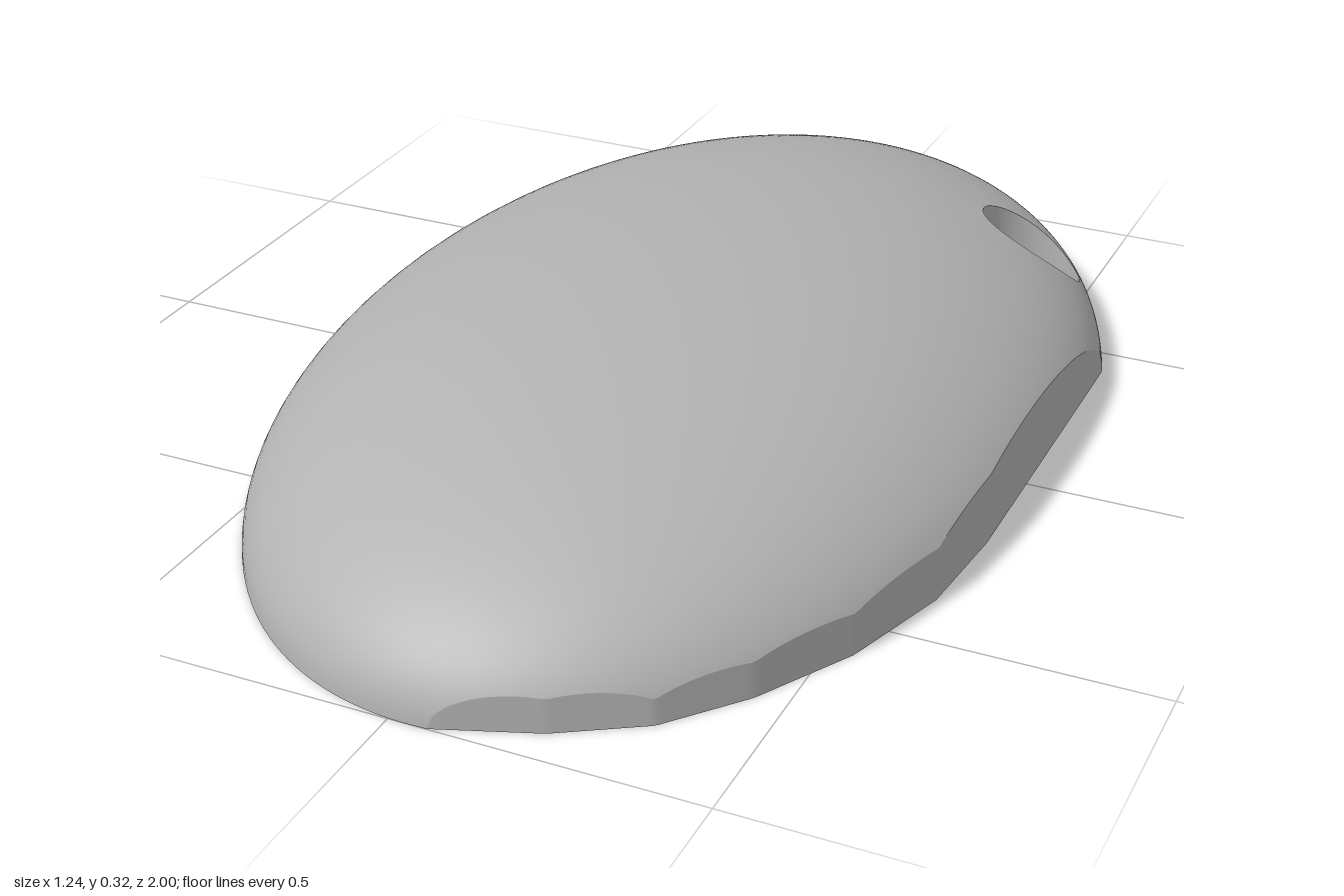
import * as THREE from 'three';

const CX = 0.03, RX = 0.65, RY = 0.325, RZ = 1;   // half ellipsoid
const N = 512;                                    // points round the outline
const HOLE = { x: 0.44, z: -0.55, r: 0.09 };      // through hole
const SOCKETS = [[0.23, -0.35], [-0.17, 0.2]];    // blind holes underneath
const SOCKET_R = 0.038, SOCKET_DEPTH = 0.12;

// Corners (x, z) of the upright facets that trim the +x side
const TRIM = [[0.617, -1], [0.617, 0.2], [0.6, 0.39], [0.54, 0.58], [0.45, 0.74],
  [0.35, 0.86], [0.22, 0.94], [0.1, 0.985]];

const domeY = (x, z) => RY * Math.sqrt(Math.max(0, 1 - ((x - CX) / RX) ** 2 - (z / RZ) ** 2));

// Ellipse outline clipped by the trimming facets
function outlinePoint(t) {
  const dx = RX * Math.cos(t), dz = RZ * Math.sin(t);
  let k = 1;
  for (let i = 0; i < TRIM.length - 1; i++) {
    const [ax, az] = TRIM[i], [bx, bz] = TRIM[i + 1];
    const nx = bz - az, nz = ax - bx;
    const d = nx * dx + nz * dz;
    if (d > 0) k = Math.min(k, (nx * (ax - CX) + nz * az) / d);
  }
  return [CX + k * dx, k * dz];
}

// Closed strip of quads through rows of [x, y, z] points
function loft(rows) {
  const n = rows[0].length, index = [];
  for (let i = 0; i < rows.length - 1; i++) {
    for (let j = 0; j < n; j++) {
      const a = i * n + j, b = i * n + (j + 1) % n;
      index.push(a, b, a + n, a + n, b, b + n);
    }
  }
  const geo = new THREE.BufferGeometry();
  geo.setAttribute('position', new THREE.Float32BufferAttribute(rows.flat(2), 3));
  geo.setIndex(index);
  geo.computeVertexNormals();
  return geo;
}

const circle = (x, z, r, n) => Array.from({ length: n }, (_, i) => {
  const a = i / n * Math.PI * 2;
  return [x + r * Math.cos(a), z + r * Math.sin(a)];
});
const toPath = (pts, Type) => new Type(pts.map(([x, z]) => new THREE.Vector2(x, z)));

export function createModel() {
  const group = new THREE.Group();
  const grey = new THREE.MeshStandardMaterial({ color: 0xb2b2b2 });
  grey.name = 'plain grey';
  const add = (name, geo) => {
    const mesh = new THREE.Mesh(geo, grey);
    mesh.name = name;
    group.add(mesh);
    return mesh;
  };

  const outline = Array.from({ length: N }, (_, i) => outlinePoint(i / N * Math.PI * 2));
  const rim = outline.map(([x, z]) => {
    const a = Math.atan2(z - HOLE.z, x - HOLE.x);
    return [HOLE.x + HOLE.r * Math.cos(a), HOLE.z + HOLE.r * Math.sin(a)];
  });

  // Dome, spread from the through hole out to the outline
  const rings = 40, rows = [];
  for (let i = 0; i <= rings; i++) {
    const s = Math.sin(i / rings * Math.PI / 2);
    rows.push(outline.map(([ox, oz], j) => {
      const x = rim[j][0] + (ox - rim[j][0]) * s;
      const z = rim[j][1] + (oz - rim[j][1]) * s;
      return [x, domeY(x, z), z];
    }));
  }
  add('dome', loft(rows));

  // Upright trimmed side
  add('trimmedSide', loft([
    outline.map(([x, z]) => [x, domeY(x, z), z]),
    outline.map(([x, z]) => [x, 0, z])]));

  // Wall of the through hole
  add('throughHoleWall', loft([
    rim.map(([x, z]) => [x, 0, z]),
    rim.map(([x, z]) => [x, domeY(x, z), z])]));

  // Flat underside with its three openings
  const base = toPath(outline, THREE.Shape);
  base.holes.push(toPath(circle(HOLE.x, HOLE.z, HOLE.r, 64), THREE.Path));
  for (const [x, z] of SOCKETS) base.holes.push(toPath(circle(x, z, SOCKET_R, 32), THREE.Path));
  add('underside', new THREE.ShapeGeometry(base).rotateX(Math.PI / 2));

  // Blind sockets
  for (const [x, z] of SOCKETS) {
    const ring = circle(x, z, SOCKET_R, 32);
    add('socketWall', loft([0, SOCKET_DEPTH].map(y => ring.map(([px, pz]) => [px, y, pz]))));
    add('socketEnd', new THREE.CircleGeometry(SOCKET_R, 32).rotateX(Math.PI / 2))
      .position.set(x, SOCKET_DEPTH, z);
  }
  return group;
}
